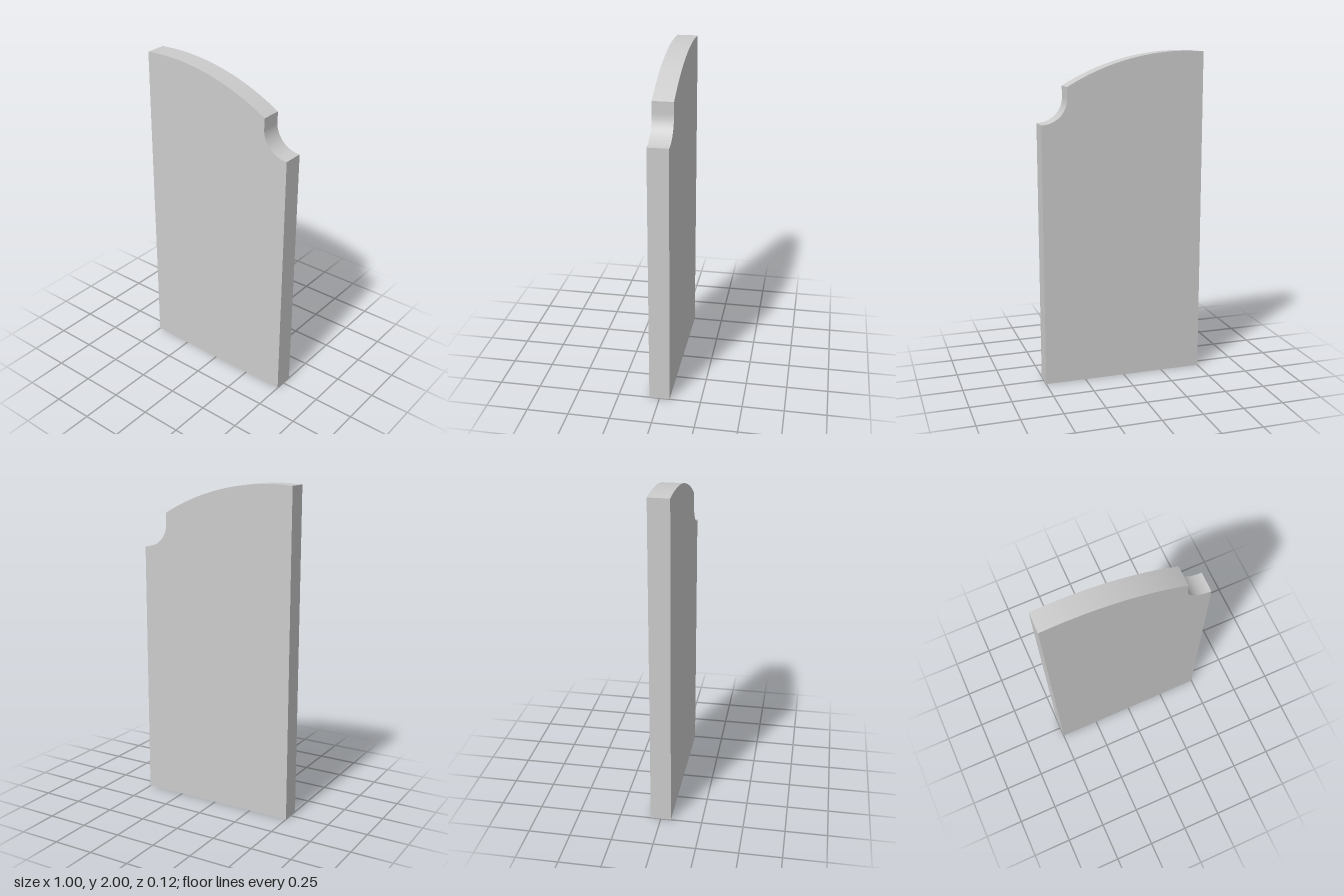
import * as THREE from 'three';
import { toCreasedNormals } from 'three/addons/utils/BufferGeometryUtils.js';

const DEPTH = 0.124;

export function createModel() {
  const group = new THREE.Group();
  group.name = 'archedPanel';

  // Outline: straight sides, shallow arched top, scooped notch at the shoulder
  const crownX = -0.38, radius = 1.427, archEndX = 0.344;
  const endAngle = Math.acos((archEndX - crownX) / radius);
  const startAngle = Math.acos((-0.5 - crownX) / radius);

  const outline = new THREE.Shape();
  outline.moveTo(-0.5, 0);
  outline.lineTo(0.5, 0);
  outline.lineTo(0.5, 1.588);
  // Concave quarter round, then a short vertical step up to the arch
  outline.absellipse(0.5, 1.735, 0.156, 0.147, -Math.PI / 2, -Math.PI, true);
  outline.absarc(crownX, 2 - radius, radius, endAngle, startAngle, false);
  outline.closePath();

  const geometry = new THREE.ExtrudeGeometry(outline, {
    depth: DEPTH, bevelEnabled: false, curveSegments: 32,
  });
  geometry.translate(0, 0, -DEPTH / 2);

  const panel = new THREE.Mesh(
    toCreasedNormals(geometry, Math.PI / 7),
    new THREE.MeshStandardMaterial({ color: 0xcccccc }),
  );
  panel.name = 'panel';
  group.add(panel);
  return group;
}
